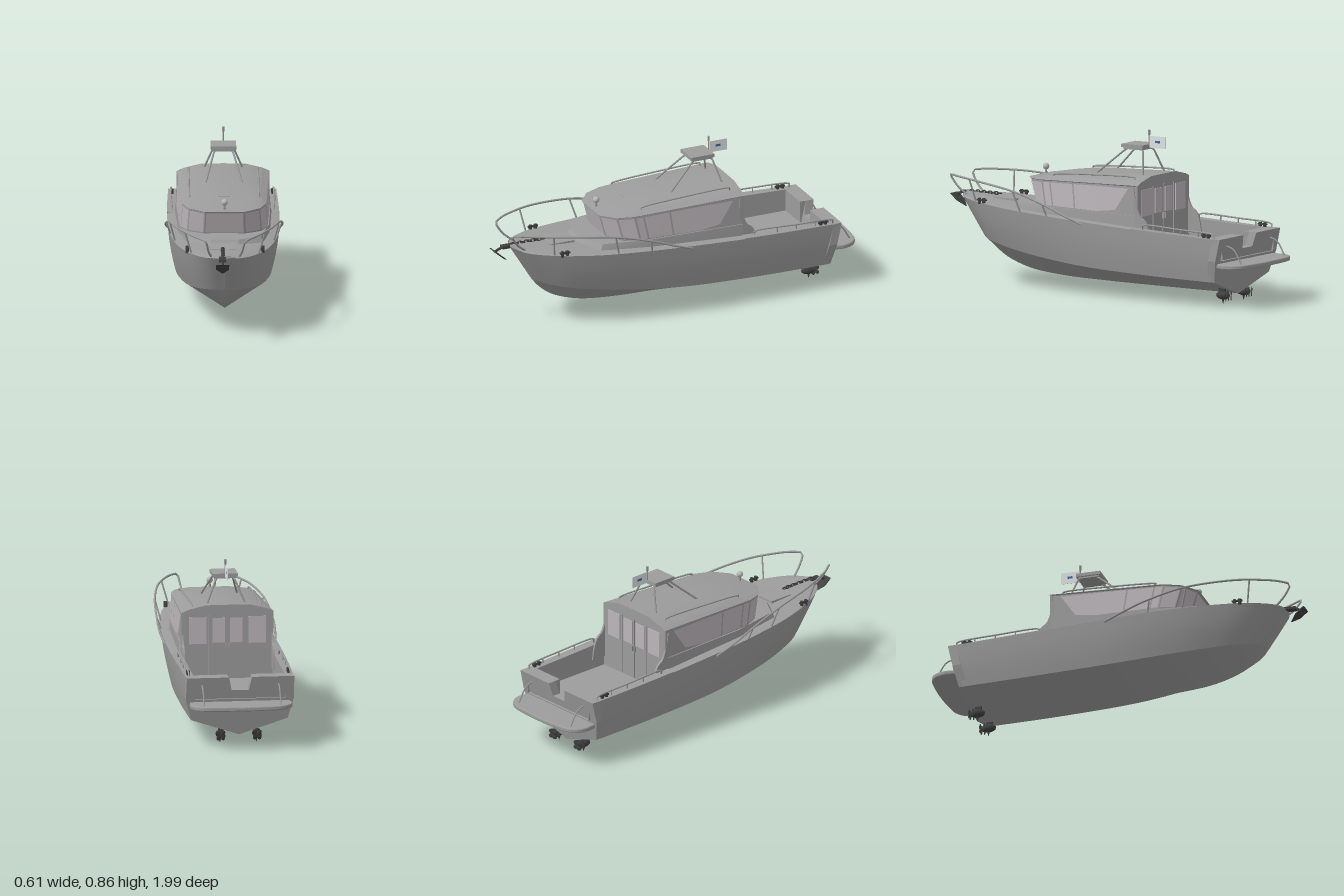
import * as THREE from 'three';
import { toCreasedNormals } from 'three/addons/utils/BufferGeometryUtils.js';

const V = (x, y, z) => new THREE.Vector3(x, y, z);
const mat = (name, color) => {
  const m = new THREE.MeshStandardMaterial({ color, side: THREE.DoubleSide });
  m.name = name;
  return m;
};

export function createModel() {
  const boat = new THREE.Group();
  boat.name = 'cabinBoat';
  const paint = mat('hull grey', 0x9c9c9c), metal = mat('rail grey', 0x9a9a9a);
  const dark = mat('dark fittings', 0x404040), glass = mat('window glass', 0xbcb6ba);
  const white = mat('flag white', 0xdfe3e6), blue = mat('flag blue', 0x3a6ea5);

  const add = (name, geo, material, x = 0, y = 0, z = 0) => {
    const m = new THREE.Mesh(geo, material);
    m.name = name;
    m.position.set(x, y, z);
    boat.add(m);
    return m;
  };
  const box = (name, w, h, d, material, x, y, z) => add(name, new THREE.BoxGeometry(w, h, d), material, x, y, z);
  const tube = (name, pts, r, material = metal, tension = 0.5) => add(name, new THREE.TubeGeometry(
    new THREE.CatmullRomCurve3(pts.map(p => V(...p)), false, 'catmullrom', tension), pts.length * 5, r, 8), material);
  // surface through rows of points
  const grid = (rows, crease = 0.6) => {
    const n = rows[0].length, index = [];
    for (let i = 0; i < rows.length - 1; i++) for (let j = 0; j < n - 1; j++) {
      const a = i * n + j, b = a + n;
      index.push(a, b, a + 1, b, b + 1, a + 1);
    }
    const g = new THREE.BufferGeometry().setFromPoints(rows.flat());
    g.setIndex(index);
    return toCreasedNormals(g, crease);
  };
  const mirrorRow = half => [...half, ...half.slice(0, -1).reverse().map(p => V(-p.x, p.y, p.z))];
  const both = f => [1, -1].forEach(f);

  // hull lines, bow to stern
  const line = pts => new THREE.CatmullRomCurve3(pts.map(p => V(...p)));
  const keel = line([[0, .25, .785], [0, .2, .745], [0, .14, .67], [0, .085, .52], [0, .06, .31], [0, .052, 0], [0, .05, -.4], [0, .05, -.79]]);
  const chine = line([[0, .25, .785], [.06, .243, .755], [.13, .228, .67], [.19, .2, .48], [.228, .175, .25], [.25, .155, 0], [.257, .141, -.4], [.254, .135, -.79]]);
  const sheer = line([[0, .445, .905], [.095, .44, .865], [.178, .432, .74], [.244, .419, .52], [.278, .406, .25], [.289, .394, 0], [.29, .375, -.4], [.28, .36, -.86]]);
  const N = 48, bottom = [], side = [], sheerPts = [];
  for (let i = 0; i <= N; i++) {
    const t = i / N, k = keel.getPoint(t), c = chine.getPoint(t), s = sheer.getPoint(t);
    k.x = 0;
    sheerPts.push(s);
    bottom.push(mirrorRow([V(-c.x, c.y, c.z), k.clone().lerp(V(-c.x, c.y, c.z), .5), k]));
    side.push([0, .2, .4, .6, .8, 1].map(v => {
      const p = c.clone().lerp(s, v);
      p.x += .006 * Math.sin(Math.PI * v) * Math.min(1, t * 3);
      return p;
    }));
  }
  add('hullBottom', grid(bottom, .5), paint);
  both(s => add('hullSide', grid(side.map(r => {
    const q = r.map(p => V(s * p.x, p.y, p.z));
    return s > 0 ? q : q.reverse();
  })), paint));
  const sheerAt = z => {
    let i = 1;
    while (i < N && sheerPts[i].z > z) i++;
    const a = sheerPts[i - 1], b = sheerPts[i];
    return a.clone().lerp(b, (a.z - z) / (a.z - b.z));
  };

  // foredeck and side decks
  const deck = [];
  for (let i = 0; i <= 30; i++) {
    const s = sheerAt(.904 - i / 30 * 1.214);
    deck.push(mirrorRow([s, V(s.x * .94, s.y + .003, s.z), V(s.x * .5, s.y + .008, s.z), V(0, s.y + .012, s.z)]));
  }
  add('foredeck', grid(deck), paint);

  // sunken cockpit with gunwales
  const well = [];
  for (let i = 0; i <= 10; i++) {
    const s = sheerAt(-.31 - i * .054);
    well.push(mirrorRow([s, V(s.x, s.y + .004, s.z), V(.238, s.y + .004, s.z), V(.235, .25, s.z), V(0, .25, s.z)]));
  }
  add('cockpit', grid(well), paint);
  box('floorHatch', .38, .014, .31, paint, 0, .252, -.62);

  // raked transom with a boarding notch
  const outline = [[0, .05], [.252, .135], [.282, .25], [.28, .366], [.06, .366], [.045, .295],
    [-.045, .295], [-.06, .366], [-.28, .366], [-.282, .25], [-.252, .135]];
  const transom = new THREE.ExtrudeGeometry(new THREE.Shape(outline.map(p => new THREE.Vector2(...p))), { depth: .045, bevelEnabled: false });
  const tp = transom.attributes.position;
  for (let i = 0; i < tp.count; i++) tp.setZ(i, tp.getZ(i) - .792 - (tp.getY(i) - .05) * .225);
  transom.computeVertexNormals();
  add('transom', transom, paint);
  both(s => box('aftCoaming', .176, .116, .05, paint, s * .149, .308, -.81));

  // swim platform
  const plat = new THREE.Shape();
  plat.moveTo(-.25, .8);
  plat.lineTo(-.262, .88);
  plat.quadraticCurveTo(-.255, .965, -.17, .975);
  plat.quadraticCurveTo(0, .995, .17, .975);
  plat.quadraticCurveTo(.255, .965, .262, .88);
  plat.lineTo(.25, .8);
  const platGeo = new THREE.ExtrudeGeometry(plat, { depth: .012, bevelSize: .006, bevelThickness: .006, bevelSegments: 2, curveSegments: 10 });
  add('swimPlatform', platGeo.rotateX(-Math.PI / 2), paint, 0, .216, 0);
  both(s => tube('platformStay', [[s * .2, .325, -.85], [s * .2, .305, -.9], [s * .2, .235, -.945]], .004));

  // cabin trunk
  const loop = pts => [...pts.map(p => V(...p)), ...pts.slice().reverse().map(([x, y, z]) => V(-x, y, z))];
  add('cabinTrunk', grid([
    loop([[.25, .37, -.31], [.238, .38, .2], [.2, .41, .48], [.08, .42, .55]]),
    loop([[.247, .445, -.31], [.232, .447, .2], [.188, .45, .46], [.07, .452, .53]]),
    loop([[0, .445, -.31], [0, .45, .2], [0, .455, .42], [0, .455, .42]])], .3), paint);

  // wheelhouse walls, windscreen leaning forward
  const low = loop([[.243, .43, -.31], [.222, .44, .26], [.19, .445, .34], [.105, .447, .4]]);
  const high = loop([[.234, .598, -.31], [.212, .582, .29], [.18, .578, .375], [.1, .576, .435]]);
  add('wheelhouse', grid([low, high], .1), paint);
  const pane = (name, k, ...uv) => {
    const q = uv.map(([u, v]) => low[k].clone().lerp(low[k + 1], u).lerp(high[k].clone().lerp(high[k + 1], u), v));
    const n = q[3].clone().sub(q[0]).cross(q[1].clone().sub(q[0])).normalize().multiplyScalar(.004);
    q.forEach(p => p.add(n));
    add(name, grid([[q[0], q[1]], [q[3], q[2]]]), glass);
  };
  const rect = (a, b) => [[a, .1], [b, .1], [b, .93], [a, .93]];
  for (const [a, b] of [[.42, .665], [.68, .91], [.925, .99]]) {
    pane('sideWindow', 0, ...rect(a, b));
    pane('sideWindow', 6, ...rect(1 - b, 1 - a));
  }
  pane('aftSideWindow', 0, [.22, .2], [.42, .1], [.42, .93], [.08, .91]);
  pane('aftSideWindow', 6, [.58, .1], [.78, .2], [.92, .91], [.58, .93]);
  for (const k of [1, 2, 4, 5]) pane('cornerWindscreen', k, ...rect(.05, .95));
  pane('windscreen', 3, ...rect(.03, .97));

  // faceted roof
  add('roof', grid([
    loop([[.228, .588, -.31], [.205, .575, .28], [.172, .572, .37], [.095, .57, .43]]),
    loop([[.24, .6, -.325], [.218, .584, .29], [.185, .58, .38], [.103, .577, .445]]),
    loop([[.205, .616, -.325], [.185, .606, .22], [.15, .598, .3], [.085, .59, .37]]),
    loop([[.115, .638, -.325], [.1, .628, .06], [.085, .618, .17], [.05, .61, .26]]),
    loop([[0, .64, -.325], [0, .632, .06], [0, .622, .17], [0, .613, .26]])], .25), paint);
  const rearFace = new THREE.Shape([[-.24, .25], [.24, .25], [.24, .6], [.205, .616], [.115, .638], [-.115, .638], [-.205, .616], [-.24, .6]]
    .map(p => new THREE.Vector2(...p)));
  add('aftBulkhead', new THREE.ExtrudeGeometry(rearFace, { depth: .012, bevelEnabled: false }), paint, 0, 0, -.322);
  both(s => {
    box('doorWindow', .066, .13, .006, glass, s * .046, .505, -.323);
    box('aftWindow', .09, .14, .006, glass, s * .155, .505, -.323);
    box('doorFrame', .006, .33, .008, paint, s * .095, .42, -.323);
    box('doorHandle', .006, .03, .012, metal, s * .009, .42, -.328);
    // side wings sweeping down to the gunwale
    const wing = new THREE.Shape();
    wing.moveTo(.3, .3);
    wing.lineTo(.3, .585);
    wing.quadraticCurveTo(.322, .45, .35, .432);
    wing.quadraticCurveTo(.395, .415, .405, .3);
    const g = new THREE.ExtrudeGeometry(wing, { depth: .012, bevelEnabled: false }).rotateY(Math.PI / 2);
    add('cabinWing', g, paint, s * .235 - .006, 0, 0);
  });
  box('centreFrame', .006, .33, .008, paint, 0, .42, -.323);

  // roof fittings: grab rails, searchlight, radar arch, flag
  both(s => {
    tube('roofRail', [[s * .18, .595, .24], [s * .18, .616, .22], [s * .18, .63, -.02], [s * .18, .636, -.25], [s * .18, .615, -.27]], .0045);
    tube('archFrontLeg', [[s * .095, .625, .03], [s * .05, .752, -.115], [s * .04, .762, -.13]], .005, metal, 0);
    tube('archRearLeg', [[s * .1, .632, -.262], [s * .05, .752, -.23], [s * .04, .762, -.215]], .005, metal, 0);
  });
  box('radarPlatform', .115, .01, .115, paint, 0, .763, -.17);
  box('radarTop', .132, .018, .132, paint, 0, .776, -.17);
  add('mast', new THREE.CylinderGeometry(.004, .004, .06, 8), metal, 0, .81, -.233);
  add('mastLamp', new THREE.CylinderGeometry(.0065, .0065, .025, 10), metal, 0, .847, -.233);
  box('flag', .002, .062, .1, white, 0, .798, -.287);
  box('flagPatch', .004, .012, .028, blue, 0, .8, -.287);
  add('searchlightPost', new THREE.CylinderGeometry(.005, .007, .04, 8), metal, 0, .598, .41);
  add('searchlight', new THREE.SphereGeometry(.017, 16, 12), glass, 0, .62, .41);

  both(s => {
    // bow rail with stanchions
    tube('bowRail', [[s * .07, .435, .84], [s * .088, .485, .9], [s * .1, .54, .935], [s * .125, .551, .91], [s * .175, .552, .83],
      [s * .24, .545, .66], [s * .285, .518, .42], [s * .3, .465, .22], [s * .301, .42, .1], [s * .29, .38, -.01]], .0055);
    for (const [x, y, z, bx, bz] of [[.208, .55, .75, .175, .73], [.283, .519, .43, .256, .4], [.299, .47, .235, .278, .22]])
      tube('bowStanchion', [[s * bx, sheerAt(bz).y, bz], [s * x, y, z]], .0045);
    // gunwale rail
    tube('aftRail', [[s * .262, .38, -.37], [s * .265, .405, -.39], [s * .268, .398, -.6], [s * .265, .39, -.8], [s * .265, .365, -.82]], .0045);
    for (const z of [-.5, -.61, -.72]) tube('aftStanchion', [[s * .266, .365, z], [s * .267, .398, z]], .0035);
    // mooring cleats
    for (const [x, z] of [[.195, .68], [.262, -.765]]) {
      const y = sheerAt(z).y;
      for (const dz of [-.014, .014]) add('bollard', new THREE.CylinderGeometry(.009, .009, .03, 10), dark, s * x, y + .01, z + dz);
      box('cleatBar', .012, .008, .055, dark, s * x, y + .016, z);
    }
    // propellers
    const prop = new THREE.Group();
    prop.name = 'propeller';
    prop.position.set(s * .095, .048, -.76);
    const part = (g, x, y, z) => {
      const m = new THREE.Mesh(g, dark);
      m.position.set(x, y, z);
      prop.add(m);
      return m;
    };
    part(new THREE.SphereGeometry(.022, 12, 8).scale(1, 1, 1.9), 0, 0, 0);
    part(new THREE.BoxGeometry(.014, .06, .035), 0, .03, .005);
    part(new THREE.ConeGeometry(.009, .035, 8).rotateX(Math.PI), 0, -.03, 0);
    for (let i = 0; i < 4; i++) for (const z of [-.022, -.042]) {
      const a = i * Math.PI / 2 + z * 20;
      const b = part(new THREE.SphereGeometry(.013, 8, 6).scale(1, 1.1, .25), Math.sin(a) * .017, Math.cos(a) * .017, z);
      b.rotation.set(0, .6, -a);
    }
    boat.add(prop);
  });

  // deck hatch, anchor chain and anchor
  box('deckHatch', .136, .016, .136, paint, -.008, .435, .63);
  for (let i = 0; i < 11; i++) {
    const link = add('chainLink', new THREE.TorusGeometry(.0085, .003, 6, 10).scale(1, 1.4, 1).rotateX(Math.PI / 2), dark, -.012, .452, .71 + i * .019);
    link.rotation.z = i % 2 ? Math.PI / 2 : 0;
  }
  box('bowRoller', .035, .014, .07, dark, -.015, .444, .91);
  tube('anchorShank', [[-.015, .448, .86], [-.015, .445, .93], [-.015, .425, .985]], .007, dark);
  const fluke = [[-.05, .435], [.02, .435], [.018, .4], [-.015, .37], [-.048, .4]];
  const flukeGeo = new THREE.ExtrudeGeometry(new THREE.Shape(fluke.map(p => new THREE.Vector2(...p))), { depth: .008, bevelEnabled: false });
  const fp = flukeGeo.attributes.position;
  for (let i = 0; i < fp.count; i++) fp.setZ(i, fp.getZ(i) + .915 + (fp.getY(i) - .37) * 1.15);
  flukeGeo.computeVertexNormals();
  add('anchorFluke', flukeGeo, dark);
  return boat;
}
